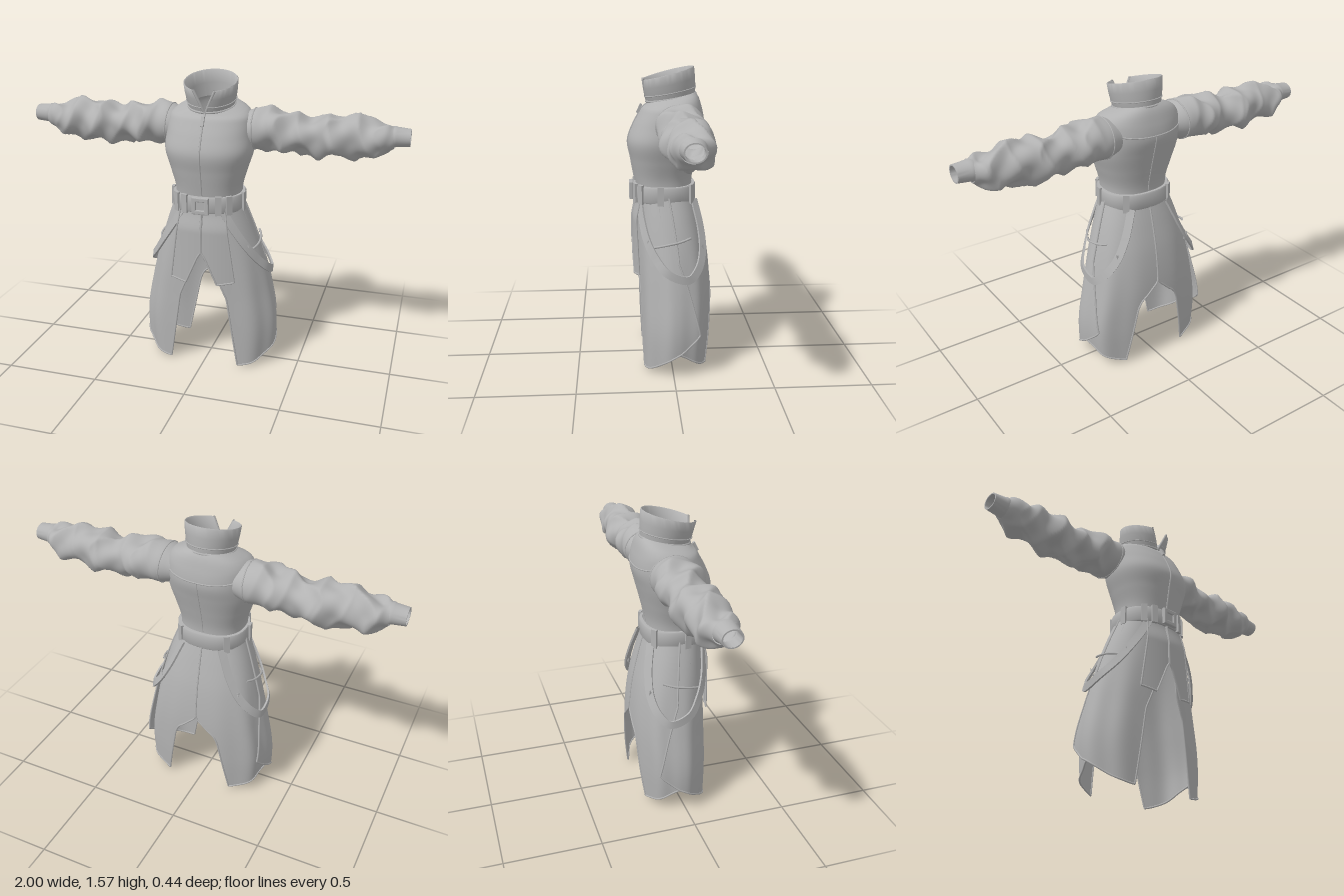
import * as THREE from 'three';
import { mergeVertices, toCreasedNormals } from 'three/addons/utils/BufferGeometryUtils.js';

const cloth = new THREE.MeshStandardMaterial({ color: 0xb2b2b2, side: THREE.DoubleSide });
cloth.name = 'grey cloth';
const { lerp, smoothstep, clamp } = THREE.MathUtils;
const PI = Math.PI;
const V = (x, y, z) => new THREE.Vector3(x, y, z);

// Smooth table lookup: rows of [key, ...values], keys ascending
function table(rows) {
  const n = rows[0].length - 1;
  const f = new THREE.CubicInterpolant(rows.map(r => r[0]), rows.flatMap(r => r.slice(1)), n, new Array(n));
  return k => Array.from(f.evaluate(clamp(k, rows[0][0], rows[rows.length - 1][0])));
}
// Straight-line lookup in [key, value] pairs
function linear(rows, k) {
  for (let i = 1; i < rows.length; i++) {
    const [a, va] = rows[i - 1], [b, vb] = rows[i];
    if (k <= b) return lerp(va, vb, clamp((k - a) / (b - a), 0, 1));
  }
  return rows[rows.length - 1][1];
}
// Surface from fn(u, v) -> Vector3
function sheet(fn, nu, nv, crease = 0) {
  const pos = [], idx = [];
  for (let j = 0; j <= nv; j++) for (let i = 0; i <= nu; i++) pos.push(...fn(i / nu, j / nv).toArray());
  for (let j = 0; j < nv; j++) for (let i = 0; i < nu; i++) {
    const a = j * (nu + 1) + i, b = a + nu + 1;
    idx.push(a, b, a + 1, a + 1, b, b + 1);
  }
  let g = new THREE.BufferGeometry();
  g.setAttribute('position', new THREE.Float32BufferAttribute(pos, 3));
  g.setIndex(idx);
  g = mergeVertices(g, 1e-5);
  g.computeVertexNormals();
  return crease ? toCreasedNormals(g, crease) : g;
}
// Oval section: angle 0 is the front, PI/2 the model's left, PI the back
const pw = (t, e) => Math.sign(t) * Math.abs(t) ** e;
function oval([hw, zf, zb], a, y, off = 0, e = 0.85) {
  const r = (zf - zb) / 2;
  return V((hw + off) * pw(Math.sin(a), e), y, (zf + zb) / 2 + (r + off) * pw(Math.cos(a), e));
}
const angleOfX = (x, hw) => Math.asin(clamp(x / hw, 0, 1) ** (1 / 0.85));

// [y, half width, front z, back z]
const torsoAt = table([[0.88, 0.175, 0.165, -0.115], [1.0, 0.175, 0.185, -0.115], [1.1, 0.202, 0.203, -0.135],
  [1.2, 0.23, 0.218, -0.16], [1.28, 0.226, 0.19, -0.178], [1.34, 0.22, 0.158, -0.172],
  [1.375, 0.208, 0.138, -0.162], [1.4, 0.175, 0.122, -0.148], [1.42, 0.118, 0.112, -0.13]]);
const skirtAt = table([[0, 0.335, 0.165, -0.2], [0.22, 0.345, 0.167, -0.21], [0.45, 0.31, 0.168, -0.212],
  [0.65, 0.268, 0.168, -0.19], [0.8, 0.225, 0.166, -0.155], [0.93, 0.178, 0.165, -0.118]]);
const torso = (a, y, off = 0) => {
  const p = oval(torsoAt(y), a, y, off);
  p.y -= 0.2 * smoothstep(y, 1.36, 1.42) * p.z;
  return p;
};
const skirt = (a, y, off = 0) => oval(skirtAt(y), a, y,
  off + 0.007 * Math.sin(a * 9 + 1) * Math.sin(a) * smoothstep(0.85 - y, 0, 0.6));

export function createModel() {
  const model = new THREE.Group();
  model.name = 'longCoat';
  const add = (name, g, parent = model) => {
    const m = new THREE.Mesh(g, cloth);
    m.name = name;
    parent.add(m);
    return m;
  };
  const tube = (name, pts, r = 0.004) =>
    add(name, new THREE.TubeGeometry(new THREE.CatmullRomCurve3(pts), pts.length * 3, r, 6));
  const line = (n, fn) => Array.from({ length: n + 1 }, (_, i) => fn(i / n));

  // Bodice
  add('bodice', sheet((u, v) => torso(u * 2 * PI, lerp(0.88, 1.42, v)), 64, 48));
  tube('frontZip', line(24, t => torso(0, lerp(0.98, 1.415, t), 0.001)), 0.005);
  tube('backSeam', line(16, t => torso(PI, lerp(0.98, 1.3, t))), 0.003);
  tube('yokeSeam', line(24, t => torso(lerp(0.72, 1.28, t) * PI, 1.315 - 0.015 * Math.sin(t * PI))), 0.004);
  const pull = add('zipPull', new THREE.BoxGeometry(0.016, 0.05, 0.012));
  pull.position.set(0, 1.36, 0.158);
  pull.rotation.x = -0.45;

  // Stand collar, open at the front, with an inner and an outer face
  const collar = (t, h, off) => {
    const gap = lerp(0.03, 0.42, h), a = lerp(gap, 2 * PI - gap, t), c = Math.cos(a);
    const p = oval([lerp(0.118, 0.14, h), lerp(0.118, 0.15, h), lerp(-0.132, -0.126, h)], a, 0, off, 1);
    p.y = lerp(1.415 - 0.022 * c, 1.541 - 0.034 * c, h);
    return p;
  };
  const wall = [[0, 0], [0.25, 0.003], [0.6, 0.003], [0.97, 0], [1, -0.004], [0.97, -0.01], [0.5, -0.01], [0, -0.01]];
  add('collar', sheet((u, v) => collar(u, ...wall[Math.round(v * 7)]), 64, 7, 1));
  tube('collarBaseSeam', line(40, t => collar(t, 0.02, 0.002)), 0.006);
  tube('collarBandSeam', line(40, t => collar(t, 0.25, 0.004)), 0.003);
  for (const t of [0, 1]) tube('collarEdge', line(6, h => collar(t, h, -0.003)), 0.007);

  // Belt with loops and a square buckle
  const beltRow = [0.18, 0.183, -0.124];
  const band = [[0.888, -0.008], [0.888, 0.006], [0.895, 0.01], [0.968, 0.01], [0.975, 0.006], [0.975, -0.008], [0.888, -0.008]];
  add('belt', sheet((u, v) => {
    const [y, off] = band[Math.round(v * 6)];
    return oval(beltRow, u * 2 * PI, y, off);
  }, 64, 6, 0.8));
  for (const a of [0.42, 0.75, 1.45, 2.45]) for (const s of [1, -1]) {
    const loop = add('beltLoop', new THREE.BoxGeometry(0.032, 0.1, 0.016));
    loop.position.copy(oval(beltRow, s * a, 0.932, 0.012));
    const q = oval(beltRow, s * a + 0.05, 0), r = oval(beltRow, s * a - 0.05, 0);
    loop.rotation.y = Math.atan2(r.z - q.z, q.x - r.x);
  }
  const square = (C, w) => new C([[-w, -w], [w, -w], [w, w], [-w, w]].map(p => new THREE.Vector2(...p)));
  const frame = square(THREE.Shape, 0.04);
  frame.holes.push(square(THREE.Path, 0.027));
  add('buckleFrame', new THREE.ExtrudeGeometry(frame, { depth: 0.014, bevelSize: 0.005, bevelThickness: 0.004, bevelSegments: 2 }))
    .position.set(0, 0.932, 0.197);
  add('bucklePlate', new THREE.BoxGeometry(0.06, 0.06, 0.012)).position.set(0, 0.932, 0.2);

  const sleeveAt = table([[0.17, 1.295, -0.03, 0.085, 0.105], [0.25, 1.298, -0.036, 0.108, 0.122],
    [0.36, 1.296, -0.04, 0.104, 0.118], [0.5, 1.278, -0.045, 0.098, 0.112], [0.62, 1.282, -0.045, 0.106, 0.115],
    [0.72, 1.288, -0.042, 0.11, 0.108], [0.8, 1.286, -0.042, 0.096, 0.1], [0.875, 1.285, -0.04, 0.078, 0.086],
    [0.925, 1.298, -0.038, 0.054, 0.06]]);
  const ridge = t => 1 - 2 * Math.abs(Math.sin(t));

  for (const s of [1, -1]) {
    const side = s > 0 ? 'left' : 'right';
    const flip = p => { p.x *= s; return p; };

    // Sleeve with slanting folds, seam at the armhole
    const sleeve = (x, a) => {
      const [cy, cz, ry, rz] = sleeveAt(x);
      const fade = smoothstep(x, 0.21, 0.36) * (1 - smoothstep(x, 0.88, 0.925));
      const f = fade * (0.011 * ridge(a + 13 * x + 0.9 * Math.sin(a * 2)) + 0.008 * ridge(-a + 21 * x + Math.sin(a))
        + 0.006 * Math.sin(3 * a + 34 * x) + 0.004 * Math.sin(47 * x - 2 * a));
      return flip(V(x, cy + (ry + f) * Math.cos(a), cz + (rz + f) * Math.sin(a)));
    };
    add(side + 'Sleeve', sheet((u, v) => sleeve(lerp(0.17, 0.925, v), u * 2 * PI), 56, 110));
    tube(side + 'ArmholeSeam', line(32, t => {
      const a = t * 2 * PI;
      return sleeve(0.222 + 0.012 * (1 - Math.cos(a)) / 2, a);
    }), 0.004);
    // Cuff, open at the wrist
    const cuff = [[0.91, 0.05], [0.925, 0.053], [0.935, 0.049], [0.99, 0.044], [1, 0.043], [1, 0.037], [0.94, 0.037]];
    add(side + 'Cuff', sheet((u, v) => {
      const [x, r] = cuff[Math.round(v * 6)], a = u * 2 * PI;
      return flip(V(x, 1.303 + r * Math.cos(a), -0.037 + r * 1.15 * Math.sin(a)));
    }, 32, 6, 0.8));

    // Skirt panels with rolled hems
    const panel = (name, fn) => {
      add(name, sheet(fn, 36, 48));
      tube(name + 'FrontEdge', line(30, t => fn(0, t)), 0.005);
      tube(name + 'Hem', line(24, t => fn(t, 1)), 0.005);
      tube(name + 'BackEdge', line(30, t => fn(1, t)), 0.005);
    };
    panel(side + 'FrontPanel', (u, v) => {
      const y = lerp(0.93, 0.008 + 0.22 * u ** 1.6, v);
      const a0 = angleOfX(linear([[0, 0.19], [0.4, 0.13], [0.52, 0.08], [0.93, 0.04]], y), skirtAt(y)[0]);
      const a1 = linear([[0.2, 2.1], [0.6, 1.62], [0.93, 1.6]], y);
      return flip(skirt(lerp(a0, a1, u), y, 0.004 + 0.022 * u * smoothstep(0.9 - y, 0, 0.65)));
    });
    panel(side + 'BackPanel', (u, v) => {
      const y = lerp(0.93, 0.015 + 0.15 * (1 - u) ** 1.3, v);
      const slit = linear([[0, 0.19], [0.34, 0.125], [0.38, 0.105], [0.42, 0.06], [0.48, 0], [0.93, 0]], y);
      return flip(skirt(lerp(1.3, PI - angleOfX(slit, skirtAt(y)[0]), u), y));
    });
    // Short front flap with a cut-away corner
    panel(side + 'FrontFlap', (u, v) => {
      const y = lerp(0.9, lerp(0.495, 0.51, u), v);
      const x0 = linear([[0.495, 0.085], [0.64, 0.022], [0.67, 0.004], [0.9, 0.002]], y);
      const x = lerp(x0, linear([[0.5, 0.175], [0.9, 0.12]], y), u);
      return flip(V(x, y, lerp(0.2, 0.178, smoothstep(y, 0.78, 0.9)) - x * x));
    });
    tube(side + 'PocketSeam', line(14, t => flip(skirt(lerp(1.0, 2.0, t), 0.675 + 0.05 * t, 0.017))), 0.006);

    // Harness strap from the front of the belt, round the hip, to the back of the belt
    const curve = new THREE.CatmullRomCurve3([[0.5, 0.9, 0.012], [0.66, 0.81, 0.02], [0.88, 0.71, 0.026],
      [1.12, 0.63, 0.03], [1.42, 0.56, 0.036], [1.78, 0.525, 0.038], [2.05, 0.57, 0.03], [2.3, 0.65, 0.024],
      [2.48, 0.76, 0.018], [2.62, 0.9, 0.01]].map(([a, y, o]) => flip(skirt(a, y, o))));
    const basis = t => {
      const p = curve.getPointAt(t), d = curve.getTangentAt(t);
      const n = V(p.x, 0, p.z + 0.02).normalize();
      n.addScaledVector(d, -n.dot(d)).normalize();
      return { p, d, n, w: V().crossVectors(d, n) };
    };
    const edge = [[-1, -1], [1, -1], [1, 1], [-1, 1], [-1, -1]];
    add(side + 'HipStrap', sheet((u, v) => {
      const { p, n, w } = basis(v), [i, j] = edge[Math.round(u * 4)];
      return p.clone().addScaledVector(w, i * 0.021).addScaledVector(n, j * 0.005);
    }, 4, 70, 0.7));
    for (const t of [0.24, 0.74]) {
      const { p, d, n, w } = basis(t);
      const buckle = new THREE.Group();
      buckle.name = side + 'StrapBuckle';
      buckle.setRotationFromMatrix(new THREE.Matrix4().makeBasis(w, n, d));
      buckle.position.copy(p);
      add('buckleBody', new THREE.BoxGeometry(0.052, 0.02, 0.06), buckle);
      for (const z of [-0.034, 0, 0.034])
        add('buckleBar', new THREE.BoxGeometry(0.066, 0.03, 0.016), buckle).position.z = z;
      model.add(buckle);
    }
  }
  // Zip continues down between the front flaps
  tube('lowerZip', line(8, t => V(0, lerp(0.67, 0.89, t), lerp(0.202, 0.186, smoothstep(t, 0.5, 1)))), 0.005);
  return model;
}
